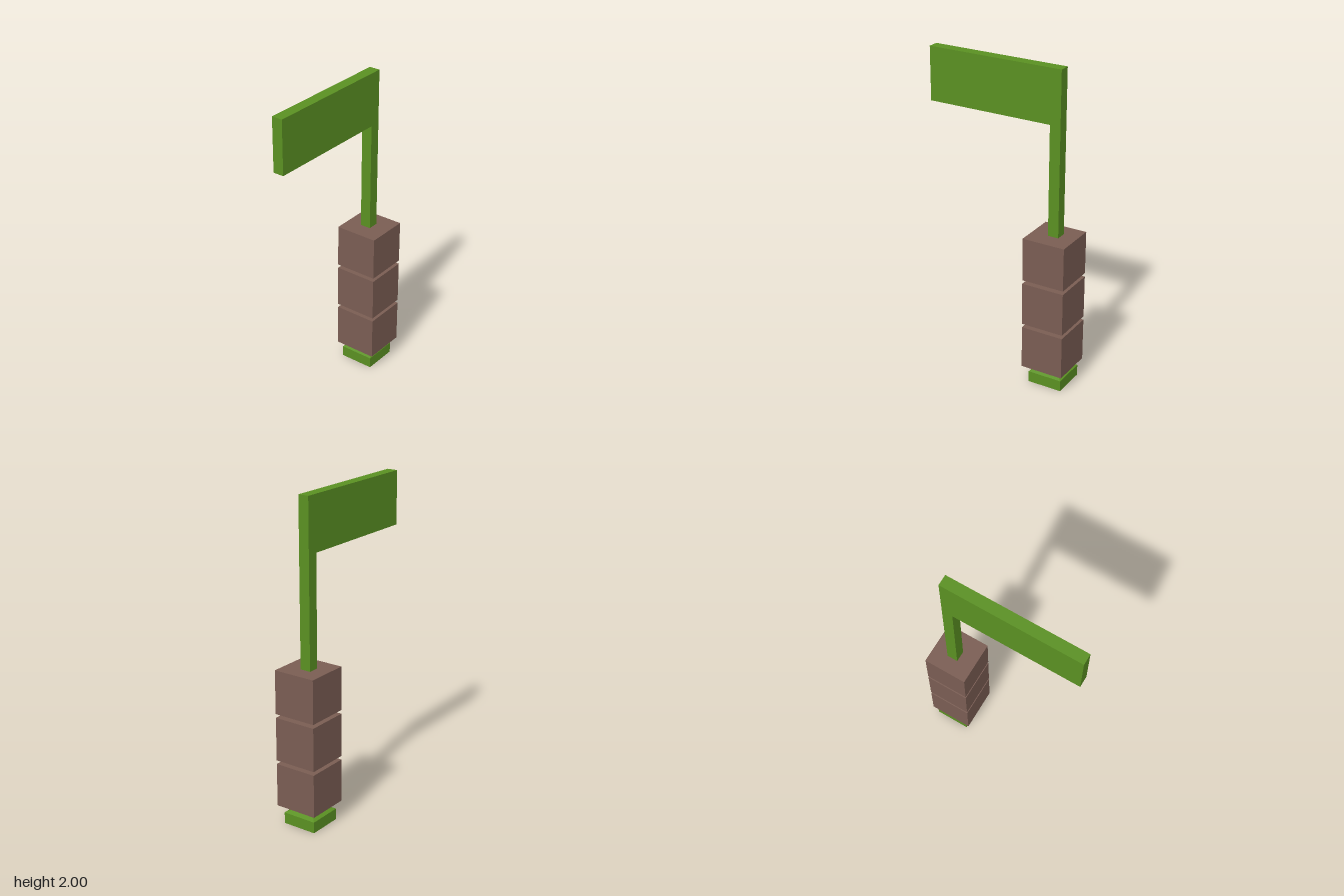
import * as THREE from 'three';

const POLE_X = -0.009, POLE_Z = -0.353, POLE_W = 0.068, BASE_W = 0.22;

export function createModel() {
  const model = new THREE.Group();
  const green = new THREE.MeshStandardMaterial({ name: 'leaf green', color: 0x5a9022 });
  const brown = new THREE.MeshStandardMaterial({ name: 'bark brown', color: 0x7a5d53 });

  const add = (name, geometry, material, x, y, z) => {
    const mesh = new THREE.Mesh(geometry, material);
    mesh.name = name;
    mesh.position.set(x, y, z);
    model.add(mesh);
  };

  // Box given by its lower and upper y
  const box = (name, material, w, d, y0, y1, x, z) =>
    add(name, new THREE.BoxGeometry(w, y1 - y0, d), material, x, (y0 + y1) / 2, z);

  // Square foot with a sloped collar up to the pole
  box('foot', green, BASE_W, BASE_W, 0, 0.07, POLE_X, POLE_Z);
  const collar = new THREE.CylinderGeometry(
    POLE_W * Math.SQRT1_2, BASE_W * Math.SQRT1_2, 0.036, 4, 1, true
  ).rotateY(Math.PI / 4).toNonIndexed();
  collar.computeVertexNormals();
  add('collar', collar, green, POLE_X, 0.088, POLE_Z);

  // Pole through the whole height
  box('pole', green, POLE_W, POLE_W, 0.106, 2, POLE_X, POLE_Z);

  // Flag panel reaching forward from the pole
  const flagBack = POLE_Z + POLE_W / 2, flagFront = 0.485;
  box('flag', green, POLE_W, flagFront - flagBack, 1.667, 2, POLE_X, (flagBack + flagFront) / 2);

  // Three stacked blocks threaded on the pole
  for (let i = 0; i < 3; i++) {
    const y = 0.117 + i * 0.2955;
    box(`block${i + 1}`, brown, 0.273, 0.273, y, y + 0.272, -0.001, -0.349);
  }

  return model;
}
